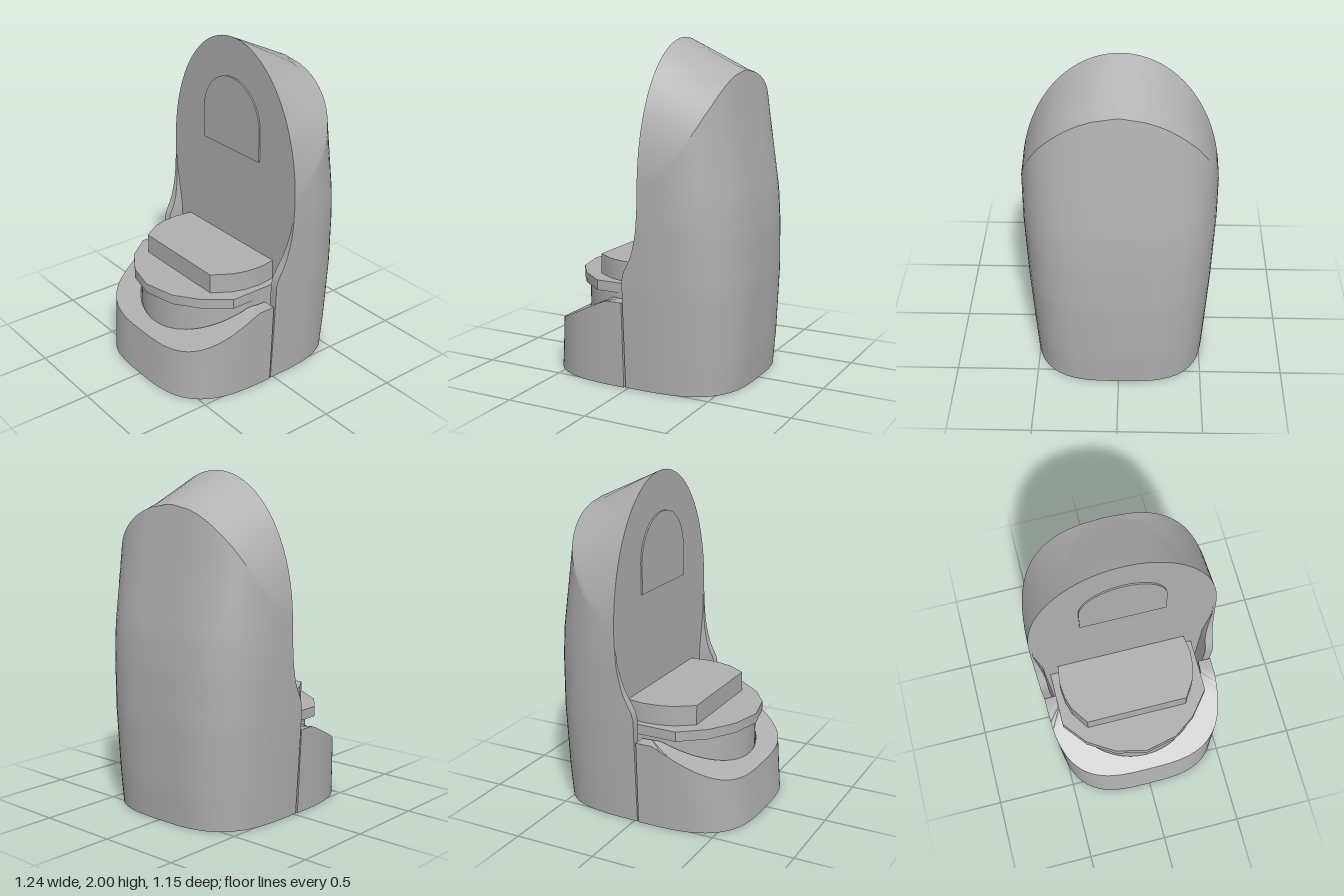
import * as THREE from 'three';
import { toCreasedNormals } from 'three/addons/utils/BufferGeometryUtils.js';

const N = 3.2; // squareness of the rounded plan

// piecewise-linear lookup
function table(rows, y) {
  for (let i = 1; i < rows.length; i++) {
    const [y0, v0] = rows[i - 1], [y1, v1] = rows[i];
    if (y <= y1) return v0 + (v1 - v0) * (y - y0) / (y1 - y0);
  }
  return rows[rows.length - 1][1];
}
const backX = y => table([[0, 0.592], [0.2, 0.607], [0.6, 0.62], [0.9, 0.613], [1.1, 0.598],
  [1.3, 0.566], [1.5, 0.533], [1.82, 0.482], [2, 0.46]], y);
const halfZ = y => table([[0, 0.525], [0.3, 0.543], [0.6, 0.56], [1, 0.575], [2, 0.575]], y);
const frontX = y => table([[0, -0.02], [0.66, -0.02], [0.7, -0.008], [0.74, 0.015], [0.81, 0.047],
  [0.92, 0.074], [1, 0.083], [1.12, 0.09], [2, 0.09]], y);
// fall of the roof towards the back, gentler on the flanks
const roofSlope = y => table([[0, 0.25], [1.3, 0.25], [1.6, 0.33], [1.75, 0.41], [1.82, 0.46]], y);
const cheek = y => table([[0, 0.05], [0.75, 0.05], [1, 0.015], [2, 0.015]], y);
// remaining extent of a superellipse with half sizes 1, at offset r
const round = r => Math.pow(Math.max(0, 1 - Math.pow(Math.abs(r), N)), 1 / N);

// skin closed rings of points, capping the requested ends with flat polygons
function loft(rings, flat, capStart, capEnd) {
  const pos = [];
  const tri = (a, b, c) => {
    const n = b.clone().sub(a).cross(c.clone().sub(a));
    if (n.length() > 1e-9) for (const p of [a, b, c]) pos.push(p.x, p.y, p.z);
  };
  for (let i = 0; i + 1 < rings.length; i++) {
    const r = rings[i], s = rings[i + 1], m = r.length;
    for (let j = 0; j < m; j++) {
      const k = (j + 1) % m;
      tri(r[j], r[k], s[k]);
      tri(r[j], s[k], s[j]);
    }
  }
  const cap = (ring, out) => {
    for (const [i, j, k] of THREE.ShapeUtils.triangulateShape(ring.map(flat), [])) {
      const [a, b, c] = [ring[i], ring[j], ring[k]];
      const n = b.clone().sub(a).cross(c.clone().sub(a));
      if (n.dot(out) > 0) tri(a, b, c); else tri(a, c, b);
    }
  };
  cap(rings[0], capStart);
  if (capEnd) cap(rings[rings.length - 1], capEnd);
  const g = new THREE.BufferGeometry();
  g.setAttribute('position', new THREE.Float32BufferAttribute(pos, 3));
  return toCreasedNormals(g, 0.5);
}

// one horizontal slice of the tower: cheek, side wall, back, then mirrored
function towerRing(y) {
  const a = backX(y), b = halfZ(y), xf = frontX(y), slope = roofSlope(y);
  const plan = x => b * round(x / a);
  const arch = x => {
    const t = Math.max(0, (y + slope * (x - 0.09) - 1.15) / 0.85);
    return 0.575 * Math.sqrt(Math.max(0, 1 - Math.pow(t, 2.1)));
  };
  const width = x => Math.min(plan(x), arch(x));
  // corner where the sloping roof arch meets the curved back
  const end = Math.min(a, 0.09 + (2 - y) / slope);
  let lo = 0.09, hi = end;
  for (let i = 0; i < 40; i++) {
    const mid = (lo + hi) / 2;
    if (plan(mid) > arch(mid)) lo = mid; else hi = mid;
  }
  const xc = Math.max(hi, Math.min(0.25, end)), zc = width(xc);
  const inner = Math.max(0, width(xf) - cheek(y));
  const half = [[0.09, inner], [xf, inner]];
  for (let i = 0; i <= 6; i++) {
    const x = xf + (xc - xf) * i / 6;
    half.push([x, width(x)]);
  }
  for (let i = 1; i <= 14; i++) {
    const z = zc * Math.cos(i / 14 * Math.PI / 2);
    half.push([Math.min(end, a * round(z / b)), z]);
  }
  const other = half.slice(0, -1).reverse().map(([x, z]) => [x, -z]);
  return half.concat(other).map(([x, z]) => new THREE.Vector3(x, y, z));
}

// flat slab from a plan outline of [x, z] points
function slab(outline, y, height) {
  const shape = new THREE.Shape(outline.map(([x, z]) => new THREE.Vector2(x, -z)));
  const g = new THREE.ExtrudeGeometry(shape, { depth: height, bevelEnabled: false });
  g.rotateX(-Math.PI / 2).translate(0, y, 0);
  return toCreasedNormals(g, 0.5);
}

export function createModel() {
  const model = new THREE.Group();
  model.name = 'dispenser';
  const grey = new THREE.MeshStandardMaterial({ color: 0xb0b0b0 });
  grey.name = 'grey';
  const add = (name, geometry) => {
    const mesh = new THREE.Mesh(geometry, grey);
    mesh.name = name;
    model.add(mesh);
  };

  // tall rear tower, with slices closing up towards the rounded top
  const levels = [];
  for (let i = 0; i < 24; i++) levels.push(1.2 * i / 24);
  for (let i = 0; i <= 36; i++) levels.push(2 - 0.8 * Math.pow(1 - i / 36, 1.7));
  add('tower', loft(levels.map(towerRing), p => new THREE.Vector2(p.x, p.z),
    new THREE.Vector3(0, -1, 0)));

  // collar around the front of the base, its rim cut by a slanted plane, with a round well
  const rim = x => Math.min(0.515, 0.29 + 0.5 * (x + 0.59));
  const collar = [], pedestal = [[0.2, -0.45]];
  for (let i = 0; i <= 48; i++) {
    const t = Math.PI * (0.5 - i / 48), cos = Math.abs(Math.cos(t)), sin = Math.sin(t);
    const c = Math.pow(cos, 2 / N);
    const s = Math.sign(sin) * Math.pow(Math.abs(sin), 2 / N);
    const xo = -0.03 - 0.56 * c, xi = -0.03 - 0.473 * cos, zi = 0.472 * sin;
    collar.push([
      new THREE.Vector3(-0.03 - 0.59 * c, 0, 0.53 * s),
      new THREE.Vector3(xo, rim(xo), 0.553 * s),
      new THREE.Vector3(xi, rim(xi), zi),
      new THREE.Vector3(xi, 0, zi),
    ]);
    pedestal.push([-0.03 - 0.47 * cos, -0.45 * sin]);
  }
  pedestal.push([0.2, 0.45]);
  add('baseCollar', loft(collar, p => new THREE.Vector2(p.z, p.y),
    new THREE.Vector3(1, 0, 0), new THREE.Vector3(1, 0, 0)));

  // pedestal and the wider disc it carries
  add('pedestal', slab(pedestal, 0.03, 0.51));
  add('disc', slab([[0.2, -0.48], [-0.25, -0.48], [-0.4, -0.36], [-0.5, -0.2], [-0.545, -0.01],
    [-0.5, 0.19], [-0.4, 0.33], [-0.25, 0.45], [0.2, 0.45]], 0.54, 0.06));

  // tray with a straight front edge
  add('tray', slab([[0.2, -0.4], [0.09, -0.425], [-0.02, -0.44], [-0.12, -0.43], [-0.2, -0.405],
    [-0.31, -0.33], [-0.31, 0.305], [-0.2, 0.375], [-0.12, 0.4], [-0.02, 0.41], [0.09, 0.395],
    [0.2, 0.37]], 0.6, 0.12));

  // thin arched panel on the tower's flat face
  const arch = new THREE.Shape();
  arch.moveTo(-0.26, 1.31);
  arch.lineTo(0.26, 1.31);
  arch.lineTo(0.26, 1.5);
  arch.absarc(0, 1.5, 0.26, 0, Math.PI, false);
  arch.closePath();
  const panel = new THREE.ExtrudeGeometry(arch, { depth: 0.009, bevelEnabled: false, curveSegments: 10 });
  panel.rotateY(-Math.PI / 2).translate(0.0895, 0, 0);
  add('facePanel', panel);

  return model;
}
